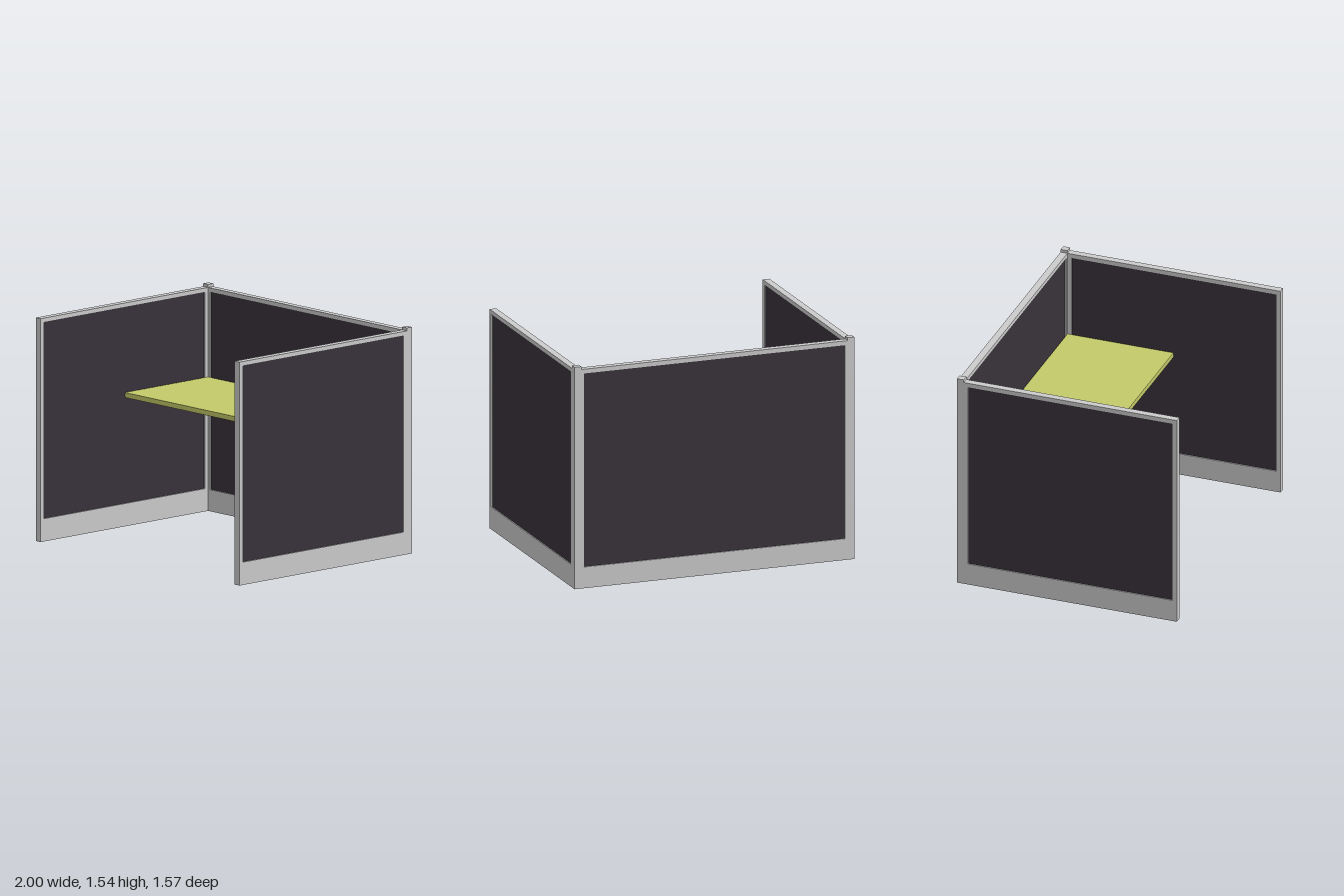
import * as THREE from 'three';

const frameMat = new THREE.MeshStandardMaterial({ color: 0xcccccc });
const fabricMat = new THREE.MeshStandardMaterial({ color: 0x38323a });
const deskMat = new THREE.MeshStandardMaterial({ color: 0xc3ca68 });

const T = 0.048; // panel thickness
const HALF_DEPTH = 0.783;
const PANEL_TOP = 1.52;
const POST_TOP = 1.54;
const RECESS = 0.008;

function add(parent, name, geometry, material, x = 0, y = 0, z = 0) {
  const mesh = new THREE.Mesh(geometry, material);
  mesh.name = name;
  mesh.position.set(x, y, z);
  parent.add(mesh);
  return mesh;
}

// Framed partition in the XY plane, centred on x and z, standing on y = 0
function partition(name, width, stile, sill) {
  const group = new THREE.Group();
  group.name = name;
  const w = width / 2, i = w - stile, head = PANEL_TOP - 0.03;

  const outline = new THREE.Shape([[-w, 0], [w, 0], [w, PANEL_TOP], [-w, PANEL_TOP]].map(p => new THREE.Vector2(...p)));
  outline.holes.push(new THREE.Path([[-i, sill], [-i, head], [i, head], [i, sill]].map(p => new THREE.Vector2(...p))));
  const frame = new THREE.ExtrudeGeometry(outline, { depth: T, bevelEnabled: false });
  add(group, 'frame', frame.translate(0, 0, -T / 2), frameMat);

  // Fabric infill set slightly back from both faces
  const fabric = new THREE.BoxGeometry(2 * i, head - sill, T - 2 * RECESS);
  add(group, 'fabric', fabric, fabricMat, 0, (head + sill) / 2, 0);
  return group;
}

export function createModel() {
  const model = new THREE.Group();
  model.name = 'officeCubicle';

  // Back partition between the corner posts
  const back = partition('backPartition', 2 - 2 * T, 0.02, 0.147);
  back.position.z = -HALF_DEPTH + T / 2;
  model.add(back);

  // Side partitions and the taller posts at the back corners
  for (const [side, s] of [['left', 1], ['right', -1]]) {
    const x = s * (1 - T / 2);
    const wall = partition(side + 'Partition', 2 * HALF_DEPTH - T, 0.03, 0.155);
    wall.rotation.y = Math.PI / 2;
    wall.position.set(x, 0, T / 2);
    model.add(wall);
    add(model, side + 'CornerPost', new THREE.BoxGeometry(T, POST_TOP, T), frameMat,
      x, POST_TOP / 2, -HALF_DEPTH + T / 2);
  }

  // Work surface spanning the side partitions
  const deskBack = -HALF_DEPTH + T, deskFront = 0.02;
  add(model, 'desktop', new THREE.BoxGeometry(2 - 2 * T, 0.034, deskFront - deskBack), deskMat,
    0, 0.894, (deskFront + deskBack) / 2);

  return model;
}
